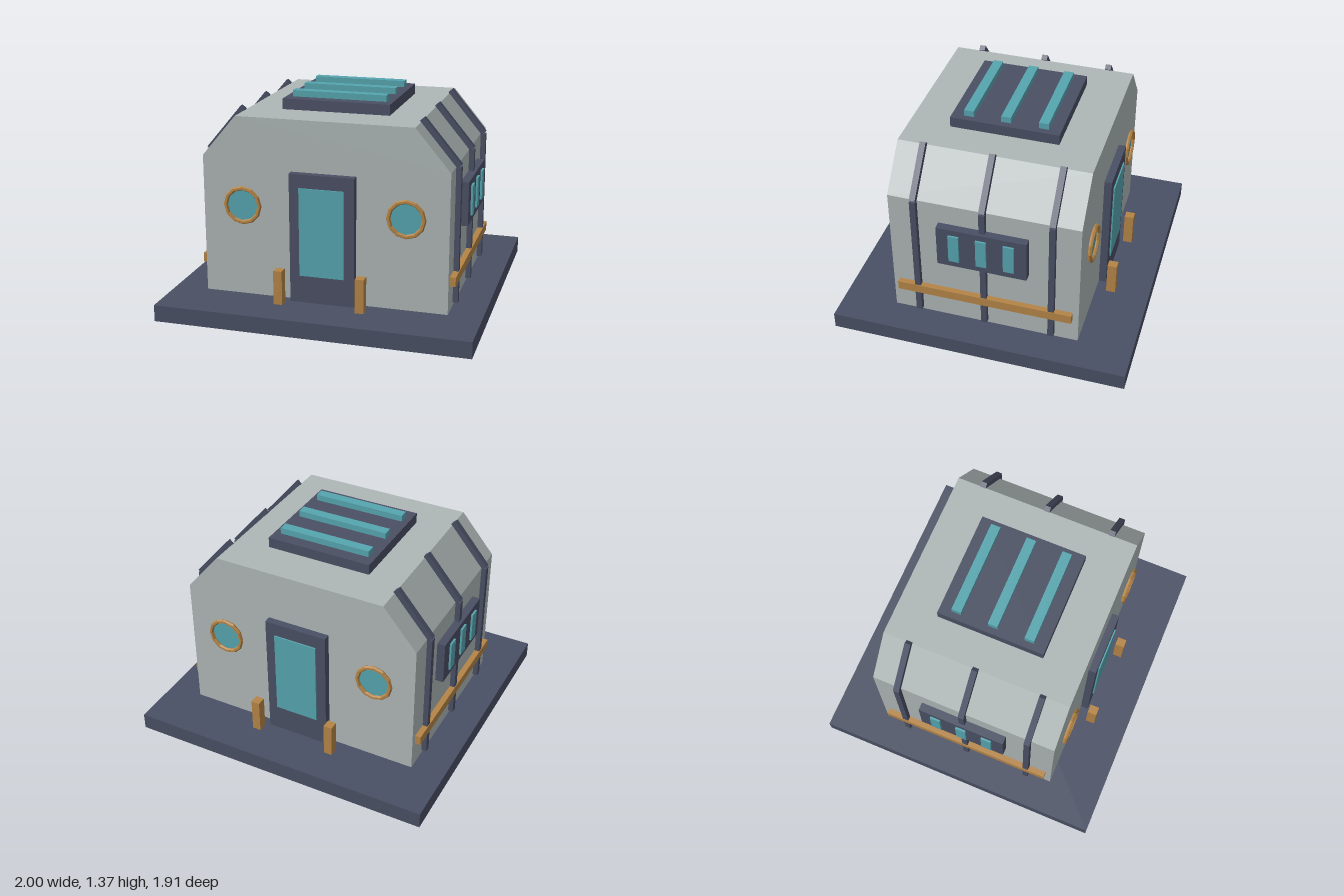
import * as THREE from 'three';

const material = (name, color) => {
  const m = new THREE.MeshStandardMaterial({ color });
  m.name = name;
  return m;
};

export function createModel() {
  const hullGrey = material('hull grey', 0xaeb6b6);
  const navy = material('dark navy', 0x4a5064);
  const teal = material('teal glass', 0x56a5af);
  const brass = material('brass', 0xb48446);

  const model = new THREE.Group();
  model.name = 'habitatModule';

  const add = (parent, name, geometry, mat) => {
    const mesh = new THREE.Mesh(geometry, mat);
    mesh.name = name;
    parent.add(mesh);
    return mesh;
  };
  // Box given by its extents along each axis
  const box = (parent, name, mat, [x0, x1], [y0, y1], [z0, z1]) => {
    const mesh = add(parent, name, new THREE.BoxGeometry(x1 - x0, y1 - y0, z1 - z0), mat);
    mesh.position.set((x0 + x1) / 2, (y0 + y1) / 2, (z0 + z1) / 2);
    return mesh;
  };
  const around = (c, width) => [c - width / 2, c + width / 2];

  // Base slab
  box(model, 'basePlatform', navy, [-1, 1], [0, 0.107], [-0.957, 0.957]);

  // Hull: chamfered outline extruded front to back
  const W = 0.785, T = 0.565, EAVE = 1.0, ROOF = 1.262, D = 0.607;
  const outline = new THREE.Shape([
    [-W, 0.107], [W, 0.107], [W, EAVE], [T, ROOF], [-T, ROOF], [-W, EAVE],
  ].map(([x, y]) => new THREE.Vector2(x, y)));
  const hull = new THREE.ExtrudeGeometry(outline, { depth: 2 * D, bevelEnabled: false });
  hull.translate(0, 0, -D);
  add(model, 'hull', hull, hullGrey);

  // Roof panel with three slats
  box(model, 'roofPanel', navy, [-0.346, 0.346], [ROOF, 1.33], [-0.346, 0.346]);
  for (const z of [-0.237, 0, 0.237]) {
    box(model, 'roofSlat', teal, [-0.304, 0.304], [1.33, 1.37], around(z, 0.062));
  }

  // Door, portholes and posts, the same on front and back
  const buildEnd = (name) => {
    const g = new THREE.Group();
    g.name = name;
    box(g, 'doorFrame', navy, [-0.207, 0.207], [0.107, 0.936], [D, 0.655]);
    box(g, 'doorGlass', teal, [-0.143, 0.143], [0.285, 0.85], [0.655, 0.664]);
    for (const s of [-1, 1]) {
      const rim = add(g, 'portholeRim', new THREE.TorusGeometry(0.111, 0.014, 6, 12).toNonIndexed(), brass);
      rim.geometry.computeVertexNormals();
      rim.position.set(s * 0.522, 0.7, 0.626);
      const glass = add(g, 'portholeGlass', new THREE.CircleGeometry(0.108, 24), teal);
      glass.position.set(s * 0.522, 0.7, 0.618);
      box(g, 'doorPost', brass, around(s * 0.262, 0.056), [0.107, 0.327], [0.675, 0.736]);
    }
    model.add(g);
    return g;
  };
  buildEnd('frontEnd');
  buildEnd('backEnd').rotation.y = Math.PI;

  // Ribs, window panel and rail, the same on both sides
  const slope = Math.atan2(ROOF - EAVE, T - W);
  const slopeLength = Math.hypot(ROOF - EAVE, W - T);
  const buildSide = (name) => {
    const g = new THREE.Group();
    g.name = name;
    for (const z of [-0.436, 0, 0.436]) {
      box(g, 'wallRib', navy, [W, 0.818], [0.13, EAVE], around(z, 0.038));
      const rib = add(g, 'slopeRib', new THREE.BoxGeometry(slopeLength + 0.02, 0.036, 0.038), navy);
      rib.rotation.z = slope;
      rib.position.set((W + T) / 2 + 0.017 * Math.sin(slope), (EAVE + ROOF) / 2 - 0.017 * Math.cos(slope), z);
    }
    box(g, 'windowPanel', navy, [W, 0.837], [0.577, 0.86], [-0.286, 0.286]);
    for (const z of [-0.174, 0, 0.174]) {
      box(g, 'sideWindow', teal, [0.837, 0.85], [0.624, 0.82], around(z, 0.067));
    }
    box(g, 'sideRail', brass, [W, 0.822], [0.277, 0.337], [-0.568, 0.568]);
    model.add(g);
    return g;
  };
  buildSide('leftSide');
  buildSide('rightSide').rotation.y = Math.PI;

  return model;
}
